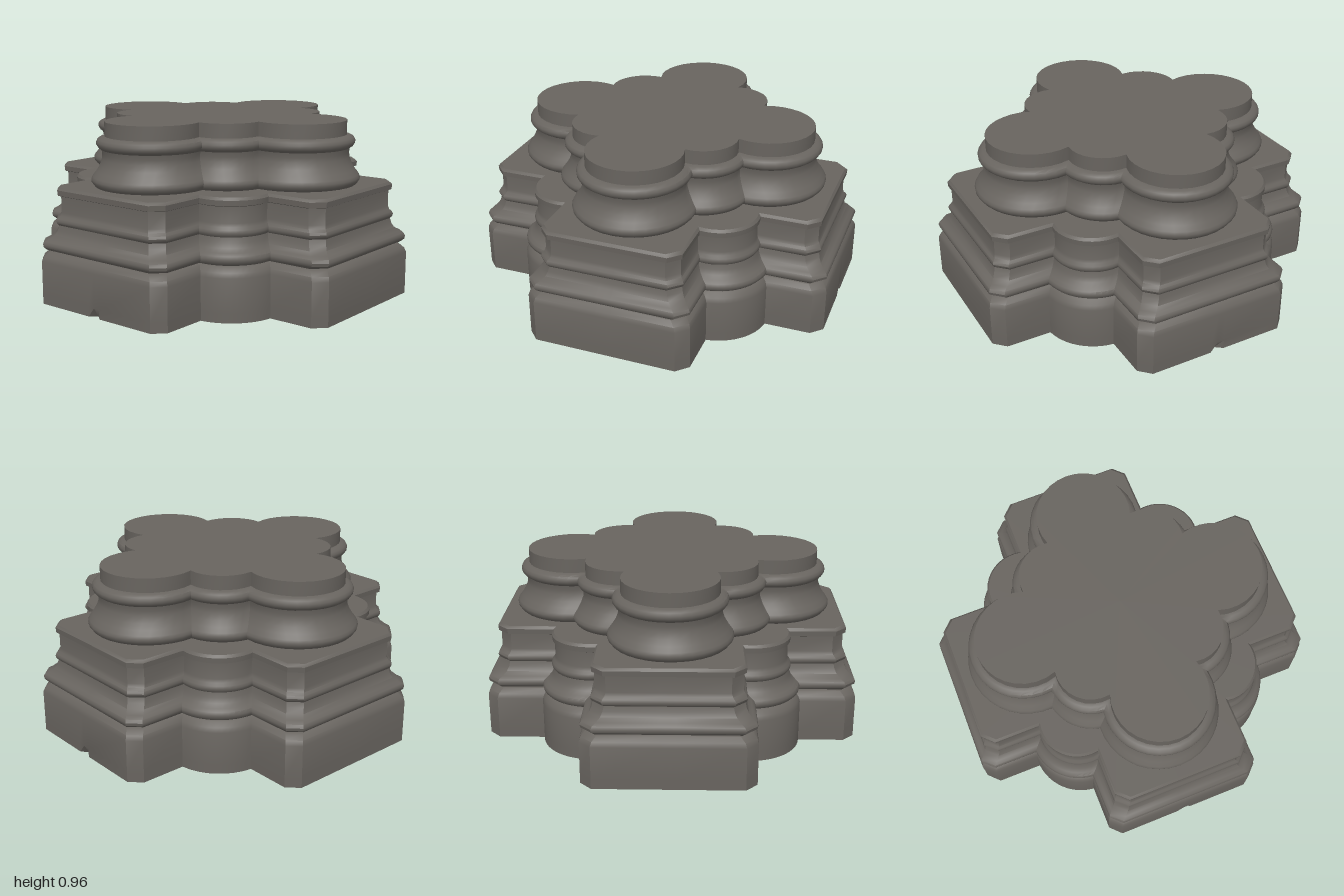
import * as THREE from 'three';
import { toCreasedNormals } from 'three/addons/utils/BufferGeometryUtils.js';

// Points along an arc around (cx, cz) between two angles, ends included
function arc(cx, cz, r, a0, a1, n) {
  const pts = [];
  for (let i = 0; i <= n; i++) {
    const a = a0 + (a1 - a0) * i / n;
    pts.push([cx + r * Math.cos(a), cz + r * Math.sin(a)]);
  }
  return pts;
}

// Repeat a quarter outline around the vertical axis
function fourfold(quarter) {
  const out = [];
  let q = quarter;
  for (let k = 0; k < 4; k++) {
    out.push(...q);
    q = q.map(([x, z]) => [-z, x]);
  }
  return out;
}

// Cross with chamfered arms and round lobes in the inner corners, grown by d
function crossOutline(d) {
  const end = 1 + d, half = 0.445 + d, cut = 0.06;
  const c = 0.415, r = 0.28 + d;
  const a = Math.asin((half - c) / r);
  return fourfold([
    [end, -0.04], [end, 0], [end, 0.04],
    [end, half - cut], [end - cut, half],
    ...arc(c, c, r, a, Math.PI / 2 - a, 12),
    [half, end - cut], [half - cut, end],
  ]);
}

// Four large and four small round shafts joined at cusps, grown by d
function shaftOutline(d) {
  const C = 0.545, D = 0.27, R = 0.255 + d, r = 0.19 + d;
  const L = Math.hypot(C - D, D), ux = (D - C) / L, uz = D / L;
  const t = (R * R - r * r + L * L) / (2 * L), h = Math.sqrt(R * R - t * t);
  const x = C + ux * t + uz * h, z = uz * t - ux * h;
  const a = Math.atan2(z, x - C), b = Math.atan2(z - D, x - D);
  return fourfold([
    ...arc(C, 0, R, -a, a, 18),
    ...arc(D, D, r, b, Math.PI / 2 - b, 8).slice(1, -1),
  ]);
}

// Loft an outline through a moulding profile of [offset, y], with caps
function loft(outline, profile, adjust) {
  const pos = [], idx = [];
  const n = outline(0).length, top = profile.length - 1;
  profile.forEach(([d, y], level) => {
    outline(d).forEach(([x, z], j) => {
      const p = [x, y, z];
      if (adjust) adjust(p, level);
      pos.push(...p);
    });
  });
  const low = pos.length / 3, high = low + 1;
  pos.push(0, profile[0][1], 0, 0, profile[top][1], 0);
  for (let j = 0; j < n; j++) {
    const k = (j + 1) % n;
    for (let i = 0; i < top; i++) {
      const a = i * n + j, b = i * n + k;
      idx.push(a, a + n, b, b, a + n, b + n);
    }
    idx.push(low, j, k, high, top * n + k, top * n + j);
  }
  const g = new THREE.BufferGeometry();
  g.setAttribute('position', new THREE.Float32BufferAttribute(pos, 3));
  g.setIndex(idx);
  return toCreasedNormals(g, 0.65);
}

export function createModel() {
  const group = new THREE.Group();
  const stone = new THREE.MeshStandardMaterial({ color: 0x68645f });
  stone.name = 'grey stone';

  const add = (name, geometry) => {
    const mesh = new THREE.Mesh(geometry, stone);
    mesh.name = name;
    group.add(mesh);
  };

  // Plinth block, with a small chip at the foot of the front and back arms
  add('plinth', loft(crossOutline, [
    [0, 0], [0, 0.05], [0, 0.23], [-0.008, 0.255], [-0.03, 0.28], [-0.045, 0.285],
  ], (p, level) => {
    if (level === 0 && Math.abs(p[0]) < 0.01) p[2] *= 0.97;
  }));

  // Lower moulding: torus, hollow, bead, plain band and projecting lip
  add('lowerMoulding', loft(crossOutline, [
    [-0.045, 0.283], [-0.022, 0.292], [-0.009, 0.306], [-0.006, 0.322], [-0.012, 0.338],
    [-0.03, 0.35], [-0.05, 0.37], [-0.062, 0.395], [-0.068, 0.422],
    [-0.06, 0.432], [-0.057, 0.445], [-0.061, 0.458], [-0.072, 0.472],
    [-0.078, 0.49], [-0.078, 0.575], [-0.066, 0.58], [-0.064, 0.608], [-0.075, 0.622],
  ]));

  // Upper moulding: broad torus, hollow and bead, running into the shafts
  add('upperMoulding', loft(shaftOutline, [
    [0.045, 0.615], [0.06, 0.63], [0.071, 0.645], [0.073, 0.66], [0.066, 0.675],
    [0.046, 0.7], [0.028, 0.73], [0.015, 0.765], [0.013, 0.79], [0.018, 0.815],
    [0.034, 0.826], [0.043, 0.84], [0.044, 0.855], [0.036, 0.87], [0.018, 0.88], [0, 0.884],
  ]));

  // Clustered shaft stubs with a flat top
  add('shafts', loft(shaftOutline, [[0, 0.88], [0, 0.96]]));

  return group;
}
